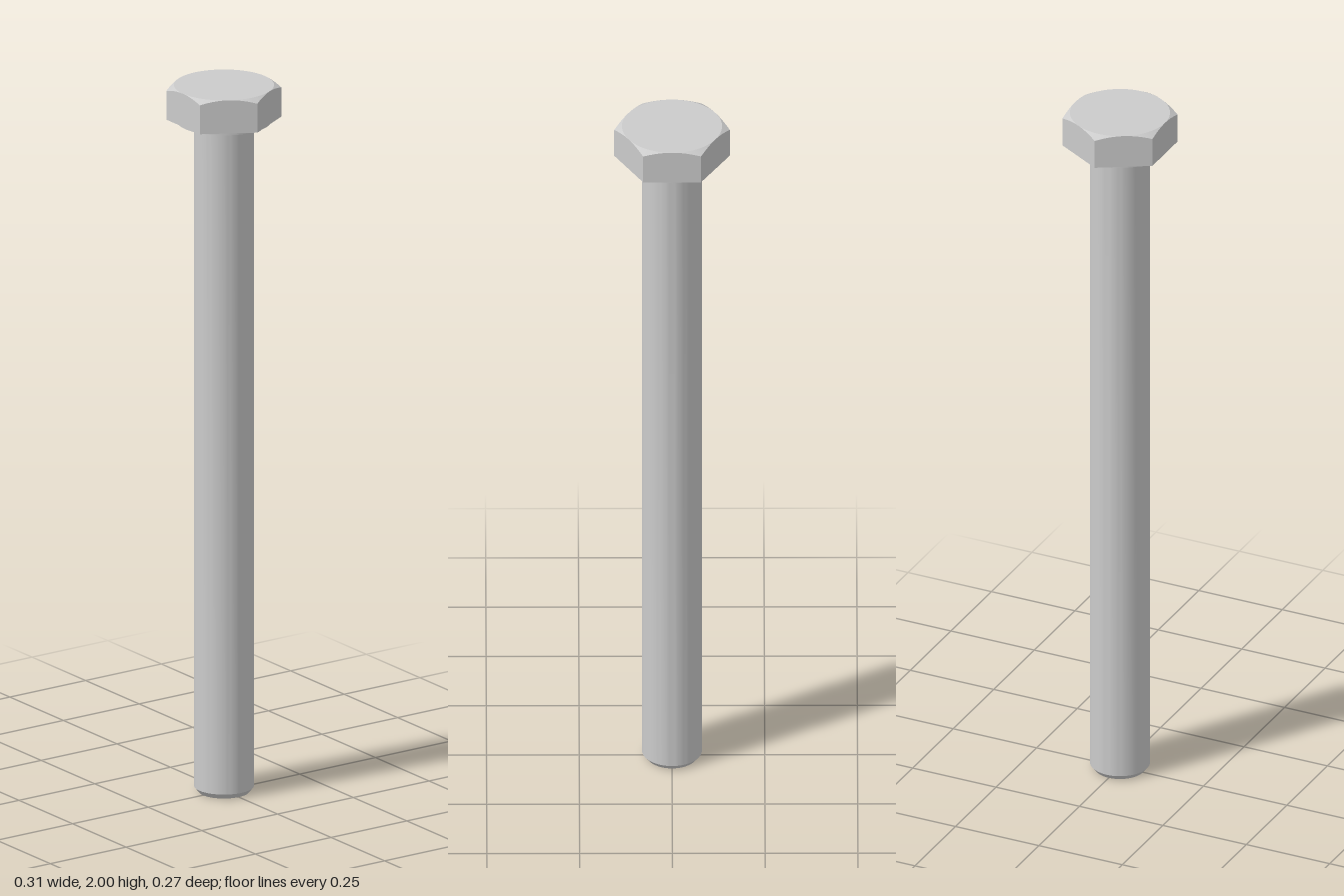
import * as THREE from 'three';
import { toCreasedNormals } from 'three/addons/utils/BufferGeometryUtils.js';

const TOP = 2, HEAD_BASE = 1.906, WASHER_BASE = 1.898;
const APOTHEM = 0.135, SHANK_R = 0.081;

const material = new THREE.MeshStandardMaterial({ color: 0xcccccc });

// Lathe a bottom-to-top profile of [radius, y] pairs
function lathe(profile, segments) {
  return new THREE.LatheGeometry(profile.map(([r, y]) => new THREE.Vector2(r, y)), segments);
}

function addPart(group, name, geometry) {
  const mesh = new THREE.Mesh(toCreasedNormals(geometry, 0.35), material);
  mesh.name = name;
  group.add(mesh);
}

// Hexagonal prism with corners on the x axis, its top trimmed by a 30 degree cone
function hexHead() {
  const geometry = lathe([[0, HEAD_BASE], [1, HEAD_BASE], [1, 1.95], [APOTHEM, TOP], [0, TOP]], 120);
  const pos = geometry.attributes.position;
  const sector = Math.PI / 3;
  for (let i = 0; i < pos.count; i++) {
    const x = pos.getX(i), y = pos.getY(i), z = pos.getZ(i);
    if (Math.hypot(x, z) < 0.9) continue; // only the outer rings become hexagonal
    const angle = Math.atan2(x, z);
    const offset = angle - Math.round(angle / sector) * sector;
    const r = APOTHEM / Math.cos(offset);
    const edgeY = y > HEAD_BASE + 0.01 ? TOP - (r - APOTHEM) * Math.tan(Math.PI / 6) : y;
    pos.setXYZ(i, x * r, edgeY, z * r);
  }
  return geometry;
}

export function createModel() {
  const bolt = new THREE.Group();
  bolt.name = 'hexBolt';

  addPart(bolt, 'head', hexHead());

  // Thin round bearing face under the head
  addPart(bolt, 'washerFace', lathe(
    [[0, WASHER_BASE], [0.127, WASHER_BASE], [0.127, HEAD_BASE], [0, HEAD_BASE]], 64));

  // Plain shank with a chamfered tip
  addPart(bolt, 'shank', lathe(
    [[0, 0], [0.069, 0], [SHANK_R, 0.015], [SHANK_R, WASHER_BASE]], 64));

  return bolt;
}
